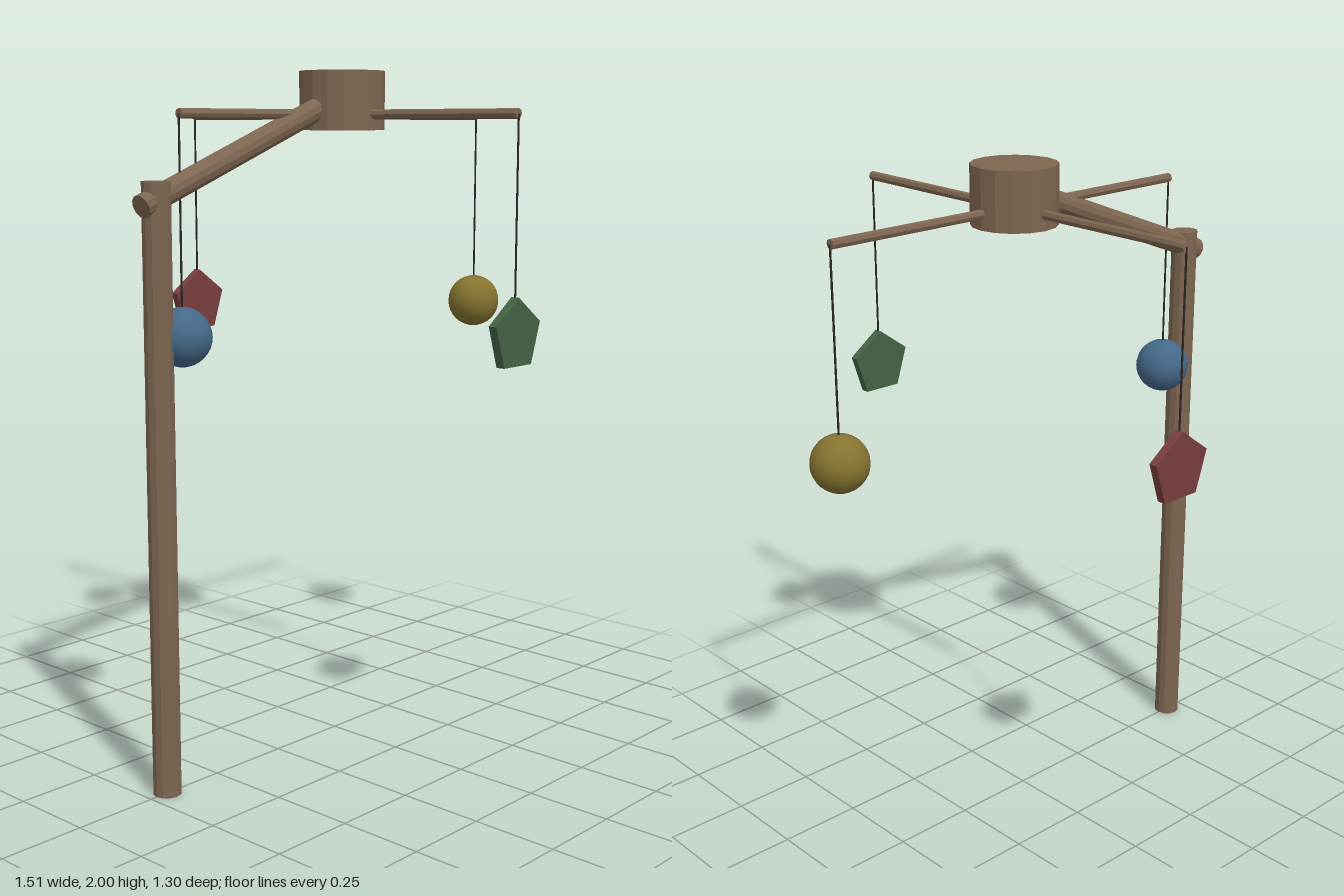
import * as THREE from 'three';

const paint = (name, color, flatShading = false) => {
  const m = new THREE.MeshStandardMaterial({ color, flatShading });
  m.name = name;
  return m;
};

export function createModel() {
  const model = new THREE.Group();
  model.name = 'hangingMobile';

  const wood = paint('brown wood', 0x7d6651, true);
  const thread = paint('dark thread', 0x2a2826);
  const blue = paint('blue', 0x456889);
  const yellow = paint('olive yellow', 0x857330);
  const green = paint('green', 0x446345, true);
  const red = paint('red', 0x7a3e3f, true);

  const add = (parent, name, geometry, material) => {
    const mesh = new THREE.Mesh(geometry, material);
    mesh.name = name;
    parent.add(mesh);
    return mesh;
  };

  // Round bar between two points
  const bar = (parent, name, from, to, radius, sides, material) => {
    const a = new THREE.Vector3(...from), b = new THREE.Vector3(...to);
    const dir = b.clone().sub(a);
    const mesh = add(parent, name, new THREE.CylinderGeometry(radius, radius, dir.length(), sides), material);
    mesh.position.copy(a).add(b).multiplyScalar(0.5);
    mesh.quaternion.setFromUnitVectors(new THREE.Vector3(0, 1, 0), dir.normalize());
    return mesh;
  };

  const hubX = 0.032, armY = 1.875, reach = 0.638, toyY = 1.28;

  // Stand: upright post, sloping support and hub
  bar(model, 'post', [-0.69, 0, 0], [-0.69, 1.7, 0], 0.04, 12, wood);
  bar(model, 'support', [-0.742, 1.634, 0], [hubX, 1.931, 0], 0.033, 12, wood);
  bar(model, 'hub', [hubX, 1.83, 0], [hubX, 2, 0], 0.125, 16, wood);

  // Toys: smooth balls and upright five-sided plates
  const ball = () => new THREE.SphereGeometry(0.082, 24, 16);
  const pentagon = () => {
    const g = new THREE.CylinderGeometry(0.104, 0.104, 0.026, 5);
    g.rotateX(-Math.PI / 2);
    return g;
  };

  // Four arms, each with a thread and a toy
  const hangers = [
    ['right', -1, 0, ball, blue],
    ['left', 1, 0, ball, yellow],
    ['front', 0, 1, pentagon, green],
    ['back', 0, -1, pentagon, red],
  ];
  for (const [side, dx, dz, makeToy, material] of hangers) {
    const group = new THREE.Group();
    group.name = side + 'Hanger';
    model.add(group);
    const x = hubX + dx * reach, z = dz * reach;
    bar(group, side + 'Arm', [hubX, armY, 0], [x, armY, z], 0.014, 8, wood);
    bar(group, side + 'Thread', [x, armY, z], [x, toyY + 0.06, z], 0.003, 6, thread);
    const toy = add(group, side + 'Toy', makeToy(), material);
    toy.position.set(x, toyY, z);
    // Point of each pentagon faces up
    if (makeToy === pentagon) {
      const p = toy.geometry.attributes.position;
      let top = 0;
      for (let i = 0; i < p.count; i++) if (p.getY(i) > p.getY(top)) top = i;
      toy.rotation.z = Math.PI / 2 - Math.atan2(p.getY(top), p.getX(top));
    }
  }
  return model;
}
